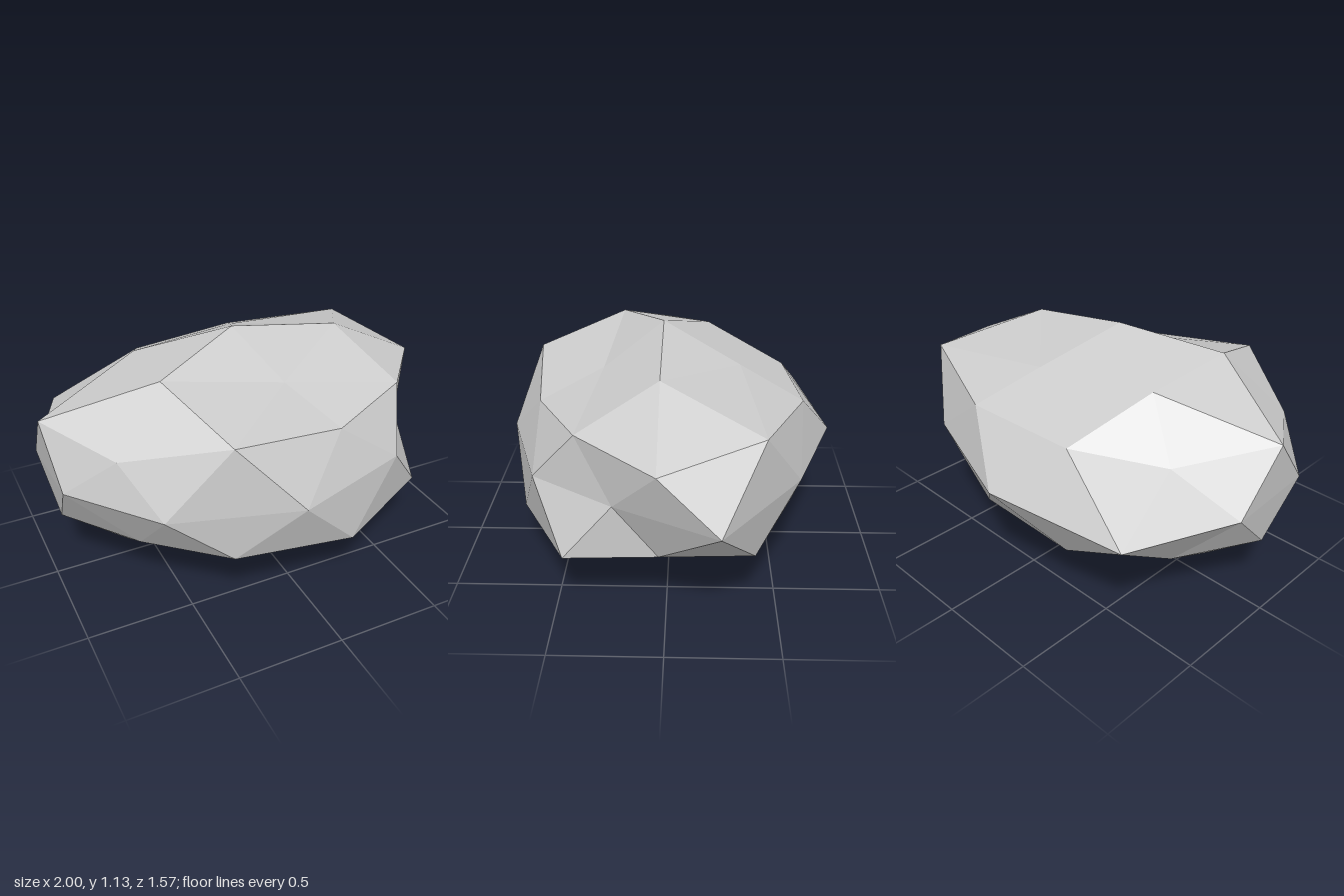
import * as THREE from 'three';

// Faceted boulder: a five-sector icosphere whose rings are pushed in and out.
const top = [-0.07, 1.13, 0.03];
const bottom = [-0.07, 0, 0.03];

// Rings run from the front round by the -x side, five points each, top to bottom.
const crown = [[0.06, 0.94, 0.31], [-0.51, 1.045, 0.25], [-0.475, 0.995, -0.19], [0.09, 0.97, -0.33], [0.48, 1.04, 0.03]];
const shoulder = [[0.19, 0.82, 0.6], [-0.77, 0.79, 0.39], [-0.68, 0.75, -0.3], [0.21, 0.84, -0.62], [0.93, 0.815, 0.03]];
const shoulderMid = [[-0.36, 0.9, 0.67], [-1, 0.86, 0.03], [-0.335, 0.82, -0.57], [0.75, 0.9, -0.415], [0.625, 0.85, 0.39]];
const girthA = [[-0.07, 0.58, 0.78], [-0.975, 0.6, 0.24], [-0.77, 0.57, -0.69], [0.53, 0.6, -0.59], [0.75, 0.58, 0.225]];
const girthB = [[-0.65, 0.575, 0.6], [-0.985, 0.58, -0.2], [-0.07, 0.575, -0.79], [1, 0.58, -0.23], [0.505, 0.59, 0.6]];
const haunch = [[-0.36, 0.34, 0.67], [-0.95, 0.345, 0.03], [-0.34, 0.3, -0.59], [0.71, 0.32, -0.39], [0.735, 0.31, 0.45]];
const haunchMid = [[-0.68, 0.32, 0.35], [-0.72, 0.31, -0.32], [0.2, 0.315, -0.595], [0.745, 0.33, 0.03], [0.225, 0.28, 0.7]];
const base = [[-0.23, 0.18, 0.375], [-0.64, 0.1, 0.03], [-0.24, 0.11, -0.365], [0.33, 0.14, -0.22], [0.33, 0.165, 0.245]];

export function createModel() {
  const positions = [];
  // One large triangle split in four; ab, bc and ca are its displaced edge midpoints.
  const facet = (a, b, c, ab, bc, ca) => {
    for (const p of [a, ab, ca, ab, b, bc, ca, bc, c, ab, bc, ca]) positions.push(...p);
  };

  for (let k = 0; k < 5; k++) {
    const n = (k + 1) % 5;
    facet(top, shoulder[n], shoulder[k], crown[n], shoulderMid[k], crown[k]);
    facet(shoulder[k], shoulder[n], haunch[k], shoulderMid[k], girthB[k], girthA[k]);
    facet(shoulder[n], haunch[n], haunch[k], girthA[n], haunchMid[k], girthB[k]);
    facet(haunch[k], haunch[n], bottom, haunchMid[k], base[n], base[k]);
  }

  const geometry = new THREE.BufferGeometry();
  geometry.setAttribute('position', new THREE.Float32BufferAttribute(positions, 3));
  geometry.computeVertexNormals(); // unshared corners give flat facets

  const stone = new THREE.MeshStandardMaterial({ color: 0xcccccc });
  stone.name = 'stone';
  stone.flatShading = true;

  const boulder = new THREE.Mesh(geometry, stone);
  boulder.name = 'boulder';
  const group = new THREE.Group();
  group.name = 'rock';
  group.add(boulder);
  return group;
}
